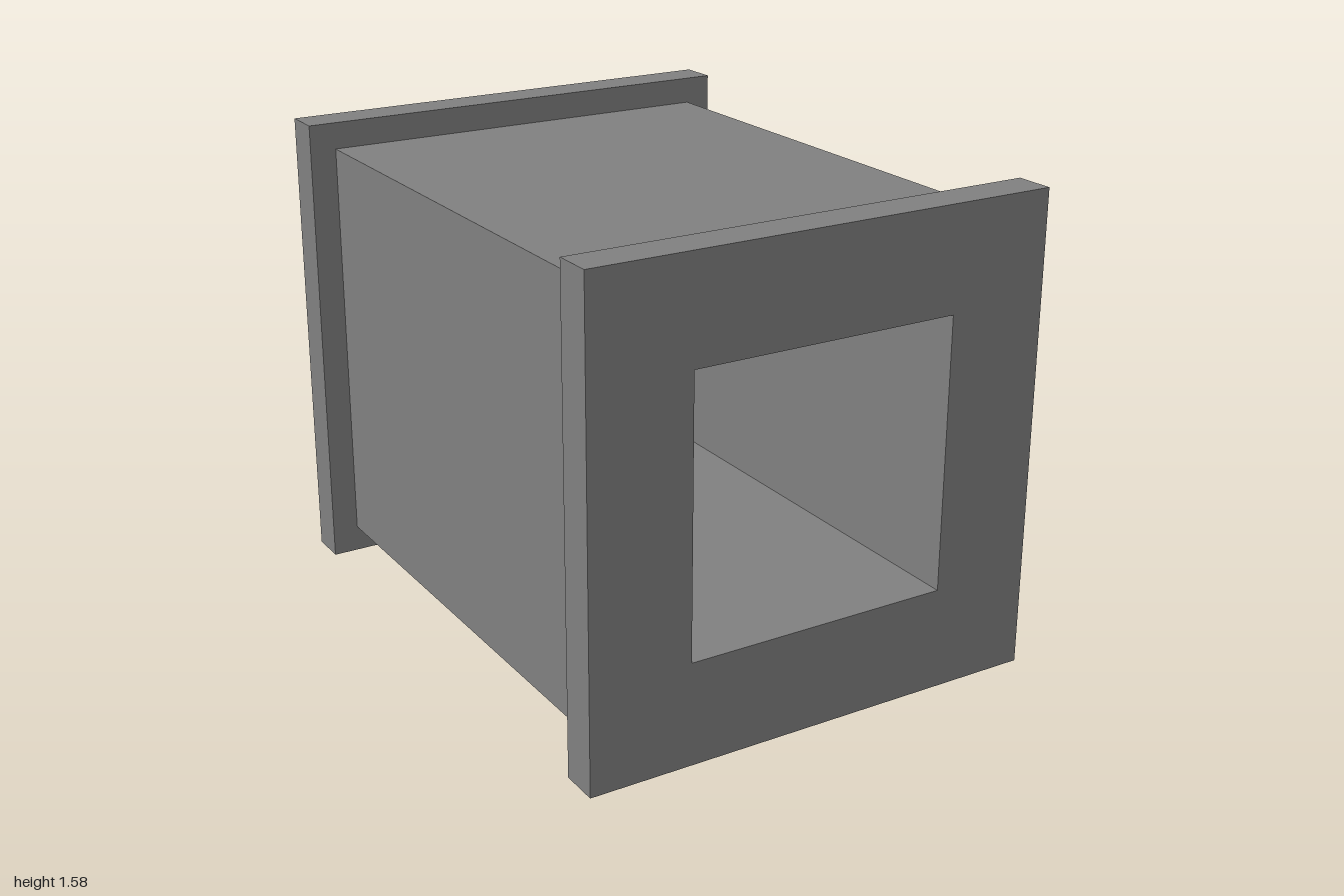
import * as THREE from 'three';

const HALF_LENGTH = 1, FLANGE = 0.79, BODY = 0.70, BORE = 0.45, THICKNESS = 0.13;
const INNER = HALF_LENGTH - THICKNESS;

const material = new THREE.MeshStandardMaterial({ color: 0x808080, flatShading: true });

// Square section along z: profile of [half-width, z], turned in four flat sides
function squareTurn(name, profile) {
  const points = profile.map(([half, z]) => new THREE.Vector2(half * Math.SQRT2, z));
  const geometry = new THREE.LatheGeometry(points, 4)
    .rotateY(Math.PI / 4)
    .rotateX(Math.PI / 2)
    .toNonIndexed();
  geometry.computeVertexNormals();
  const mesh = new THREE.Mesh(geometry, material);
  mesh.name = name;
  mesh.position.y = FLANGE;
  return mesh;
}

export function createModel() {
  const model = new THREE.Group();
  model.name = 'flangedSquareDuct';

  // Outer walls between the flanges, and the square bore right through
  model.add(squareTurn('body', [[BODY, -INNER], [BODY, INNER]]));
  model.add(squareTurn('bore', [[BORE, HALF_LENGTH], [BORE, -HALF_LENGTH]]));

  // End flanges: back step, rim and front face
  const flange = [[BODY, INNER], [FLANGE, INNER], [FLANGE, HALF_LENGTH], [BORE, HALF_LENGTH]];
  const front = squareTurn('frontFlange', flange);
  const back = squareTurn('backFlange', flange);
  back.rotation.y = Math.PI;
  model.add(front, back);

  return model;
}
